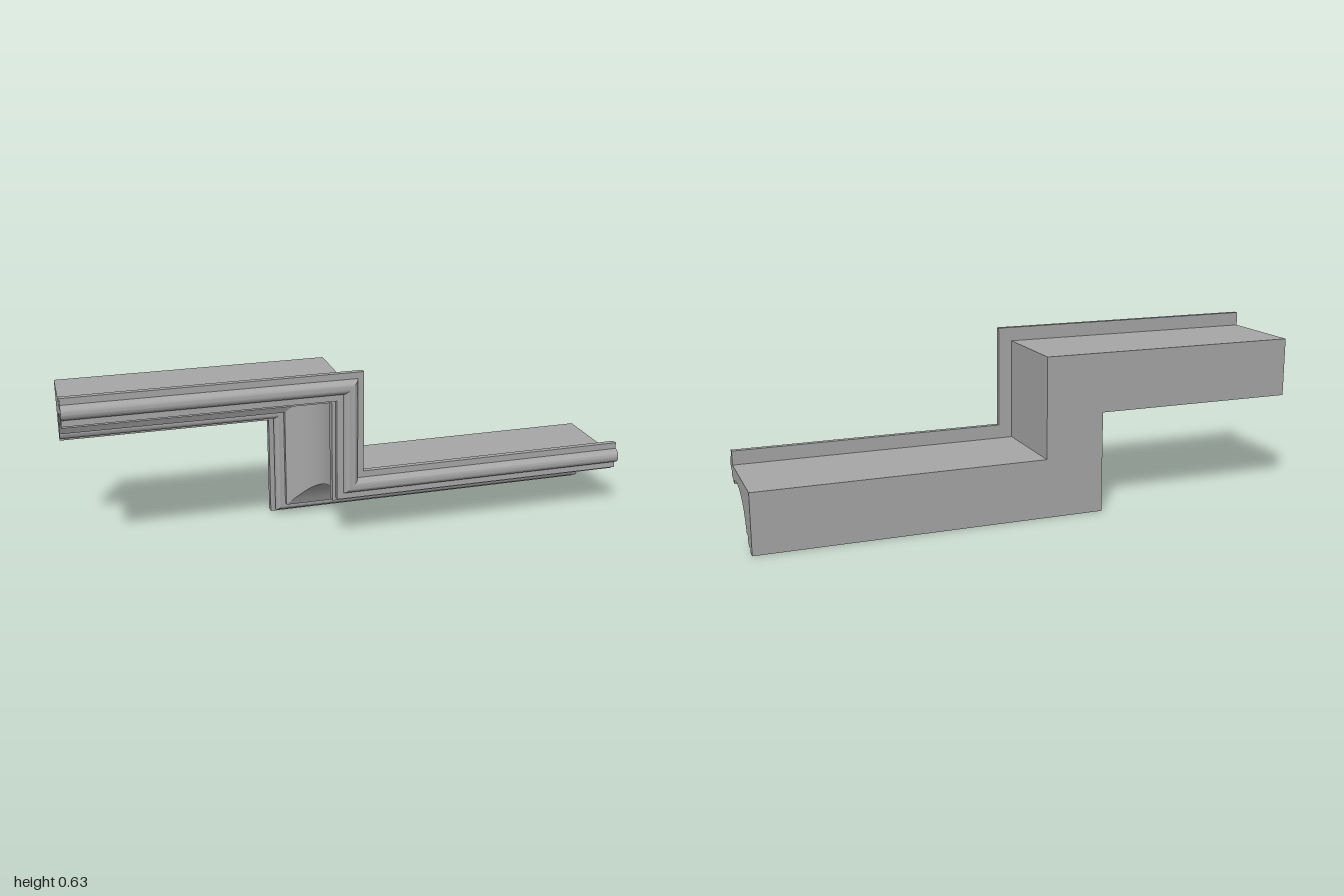
import * as THREE from 'three';
import { toCreasedNormals } from 'three/addons/utils/BufferGeometryUtils.js';

const V = (z, h) => new THREE.Vector2(z, h);

// Points on a circular arc, angles in degrees
function arc(cz, ch, r, from, to, n) {
  return Array.from({ length: n + 1 }, (_, i) => {
    const a = THREE.MathUtils.degToRad(from + (to - from) * i / n);
    return V(cz + r * Math.cos(a), ch + r * Math.sin(a));
  });
}

// Moulding cross-section as (z, height), counter-clockwise
function makeProfile() {
  const cove = new THREE.SplineCurve([
    V(-0.1, 0.047), V(-0.081, 0.086), V(-0.05, 0.127), V(0, 0.159), V(0.06, 0.173), V(0.116, 0.169),
  ]).getPoints(28);
  return [
    V(-0.192, 0), V(-0.163, 0),
    ...arc(-0.143, 0.0375, 0.0232, 230, 360, 10),                 // small bead
    V(-0.12, 0.047),
    ...cove,                                                      // hollow
    V(0.116, 0.156), V(0.147, 0.156), V(0.147, 0.168), V(0.168, 0.168),
    ...arc(0.167, 0.2165, 0.0255, -90, 90, 16),                   // rounded nose
    V(0.167, 0.265), V(0.147, 0.265),                             // upright lip
    V(0.147, 0.215), V(-0.192, 0.215),                            // flat top and back
  ];
}

// Sweep along a stepped path with mitred corners
function makeMoulding() {
  const profile = makeProfile(), n = profile.length;
  const drop = 0.366, turn = -0.25;
  const stations = [
    h => [-1, drop + h],
    h => [turn + h, drop + h],
    h => [turn + h, h],
    h => [1, h],
  ];
  const positions = [], index = [];
  stations.forEach(at => profile.forEach(p => positions.push(...at(p.y), p.x)));
  for (let s = 0; s < stations.length - 1; s++) {
    for (let j = 0; j < n; j++) {
      const k = (j + 1) % n;
      const a = s * n + j, b = s * n + k, c = a + n, d = b + n;
      index.push(a, c, b, b, c, d);
    }
  }
  // End caps
  const last = (stations.length - 1) * n;
  for (const [a, b, c] of THREE.ShapeUtils.triangulateShape(profile, [])) {
    index.push(a, b, c, last + a, last + c, last + b);
  }
  const geometry = new THREE.BufferGeometry();
  geometry.setAttribute('position', new THREE.Float32BufferAttribute(positions, 3));
  geometry.setIndex(index);
  return toCreasedNormals(geometry, 0.5);
}

export function createModel() {
  const plaster = new THREE.MeshStandardMaterial({ color: 0xa6a6a6 });
  plaster.name = 'grey plaster';
  const moulding = new THREE.Mesh(makeMoulding(), plaster);
  moulding.name = 'steppedMoulding';
  const group = new THREE.Group();
  group.name = 'steppedCornice';
  group.add(moulding);
  return group;
}
